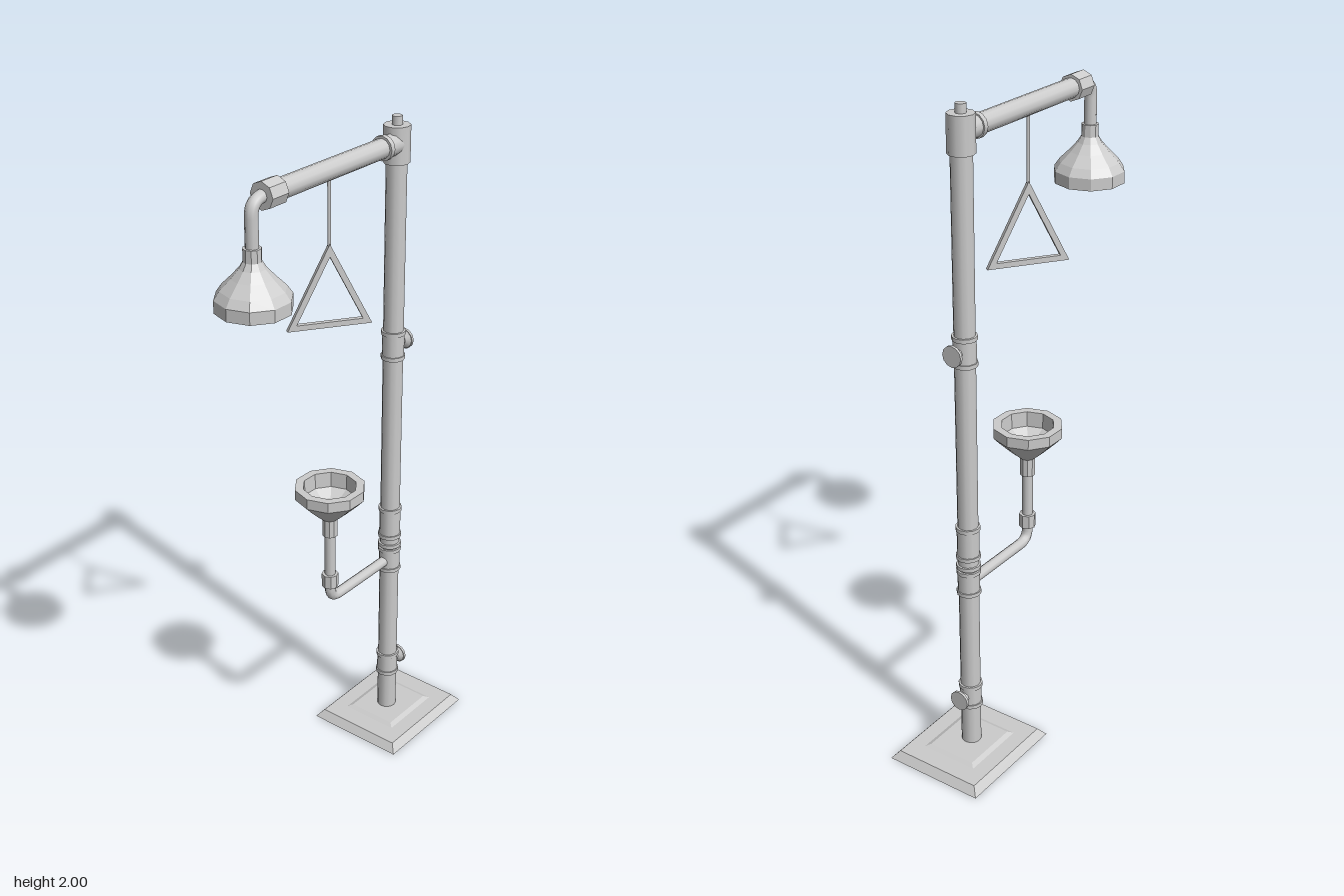
import * as THREE from 'three';

const smooth = new THREE.MeshStandardMaterial({ color: 0xcccccc });
const faceted = new THREE.MeshStandardMaterial({ color: 0xcccccc, flatShading: true });

const POLE_X = 0.257, HEAD_X = -0.347, BOWL_X = -0.036, ARM_Y = 1.926;

export function createModel() {
  const root = new THREE.Group();

  const add = (parent, name, geometry, material = smooth) => {
    const mesh = new THREE.Mesh(geometry, material);
    mesh.name = name;
    parent.add(mesh);
    return mesh;
  };
  const group = (name, x, y, z) => {
    const g = new THREE.Group();
    g.name = name;
    g.position.set(x, y, z);
    root.add(g);
    return g;
  };
  // Upright cylinder between two heights
  const upright = (parent, name, r, y0, y1, sides = 12, material = smooth) => {
    const m = add(parent, name, new THREE.CylinderGeometry(r, r, y1 - y0, sides), material);
    m.position.y = (y0 + y1) / 2;
    return m;
  };
  // Cylinder lying along x; r0 is the radius at x0, r1 at x1
  const level = (parent, name, r0, r1, x0, x1, sides = 12, material = smooth) => {
    const g = new THREE.CylinderGeometry(r1, r0, x1 - x0, sides).rotateZ(-Math.PI / 2);
    const m = add(parent, name, g, material);
    m.position.x = (x0 + x1) / 2;
    return m;
  };
  // Ten-sided turned shape with a corner on the x axis
  const turned = (parent, name, profile) => add(parent, name,
    new THREE.LatheGeometry(profile.map(p => new THREE.Vector2(...p)), 10).rotateY(Math.PI / 2), faceted);
  // Slab whose top is inset on every side
  const slab = (parent, name, w, d, y0, y1, inset) => {
    const g = new THREE.BoxGeometry(w, y1 - y0, d);
    const p = g.attributes.position;
    for (let i = 0; i < p.count; i++) {
      if (p.getY(i) > 0) {
        p.setX(i, p.getX(i) - Math.sign(p.getX(i)) * inset);
        p.setZ(i, p.getZ(i) - Math.sign(p.getZ(i)) * inset);
      }
    }
    g.computeVertexNormals();
    add(parent, name, g, faceted).position.y = (y0 + y1) / 2;
  };
  // Pipe with one rounded corner: start, corner, end
  const elbow = (parent, name, a, corner, b, bend, r) => {
    const [A, C, B] = [a, corner, b].map(p => new THREE.Vector3(p[0], p[1], 0));
    const toward = P => C.clone().add(P.clone().sub(C).setLength(bend));
    const path = new THREE.CurvePath();
    path.add(new THREE.LineCurve3(A, toward(A)));
    path.add(new THREE.QuadraticBezierCurve3(toward(A), C, toward(B)));
    path.add(new THREE.LineCurve3(toward(B), B));
    add(parent, name, new THREE.TubeGeometry(path, 40, r, 10));
  };

  // Floor plate
  const base = group('base', 0.265, 0, -0.002);
  slab(base, 'basePlate', 0.366, 0.318, 0, 0.024, 0.02);
  slab(base, 'basePlateau', 0.208, 0.182, 0.024, 0.031, 0.014);

  // Pole, top cap and collars
  const pole = group('pole', POLE_X, 0, -0.004);
  upright(pole, 'polePipe', 0.03, 0.02, 1.9);
  upright(pole, 'poleCap', 0.038, 1.87, 1.975, 10);
  upright(pole, 'poleCapNub', 0.015, 1.97, 2.0, 10);
  for (const y of [0.167, 0.233, 0.563, 0.632, 0.65, 0.682, 0.775, 1.288, 1.365])
    upright(pole, 'poleRing', 0.036, y - 0.006, y + 0.006);
  for (const [y0, y1] of [[0.167, 0.233], [0.563, 0.632], [0.682, 0.775], [1.288, 1.365]])
    upright(pole, 'poleSleeve', 0.0325, y0, y1);

  // Round valve knobs on the outer side of the pole
  for (const y of [0.199, 1.326]) {
    const valve = group('valve', POLE_X, y, -0.002);
    level(valve, 'valveStem', 0.018, 0.014, 0.02, 0.042, 10);
    level(valve, 'valveFlare', 0.014, 0.03, 0.036, 0.049, 12);
    level(valve, 'valveKnob', 0.031, 0.031, 0.048, 0.056, 12);
  }

  // Overhead arm
  const arm = group('arm', 0, ARM_Y, 0);
  level(arm, 'armPipe', 0.028, 0.028, -0.26, 0.25);
  level(arm, 'armSocket', 0.031, 0.031, 0.19, 0.25);
  level(arm, 'armFlange', 0.035, 0.035, 0.183, 0.198);
  level(arm, 'armCoupling', 0.038, 0.038, -0.307, -0.245, 8, faceted);
  elbow(arm, 'showerElbow', [-0.29, 0], [HEAD_X, 0], [HEAD_X, -0.14], 0.045, 0.018);

  // Shower head, open underneath
  const head = group('showerHead', HEAD_X, 0, 0);
  turned(head, 'showerBell', [
    [0, 1.67], [0.09, 1.67], [0.094, 1.637], [0.104, 1.637], [0.104, 1.672], [0.088, 1.695],
    [0.058, 1.725], [0.036, 1.75], [0.025, 1.768], [0.025, 1.803], [0, 1.803]
  ]);

  // Pull rod and triangular handle
  const pull = group('pullHandle', BOWL_X + 0.002, 0, -0.006);
  pull.rotation.y = -0.61;
  upright(pull, 'pullRod', 0.005, 1.7, 1.91, 8);
  const triangle = (S, half, y0, y1) => {
    const s = new S();
    s.moveTo(-half, y0);
    s.lineTo(half, y0);
    s.lineTo(0, y1);
    s.closePath();
    return s;
  };
  const frame = triangle(THREE.Shape, 0.12, 1.48, 1.72);
  frame.holes.push(triangle(THREE.Path, 0.094, 1.496, 1.684));
  add(pull, 'pullTriangle', new THREE.ExtrudeGeometry(frame, { depth: 0.014, bevelEnabled: false })
    .translate(0, 0, -0.007), faceted);

  // Eyewash bowl on its branch pipe
  const eyewash = group('eyewash', 0, 0, -0.005);
  elbow(eyewash, 'eyewashPipe', [BOWL_X, 0.84], [BOWL_X, 0.592], [POLE_X - 0.02, 0.592], 0.04, 0.016);
  const bowl = group('eyewashBowl', BOWL_X, 0, -0.005);
  upright(bowl, 'pipeCoupling', 0.025, 0.64, 0.682, 8, faceted);
  turned(bowl, 'bowl', [
    [0, 0.817], [0.023, 0.817], [0.023, 0.873], [0.05, 0.896], [0.08, 0.925], [0.104, 0.95],
    [0.104, 0.982], [0.079, 0.982], [0.077, 0.935], [0.045, 0.915], [0, 0.915]
  ]);

  return root;
}
